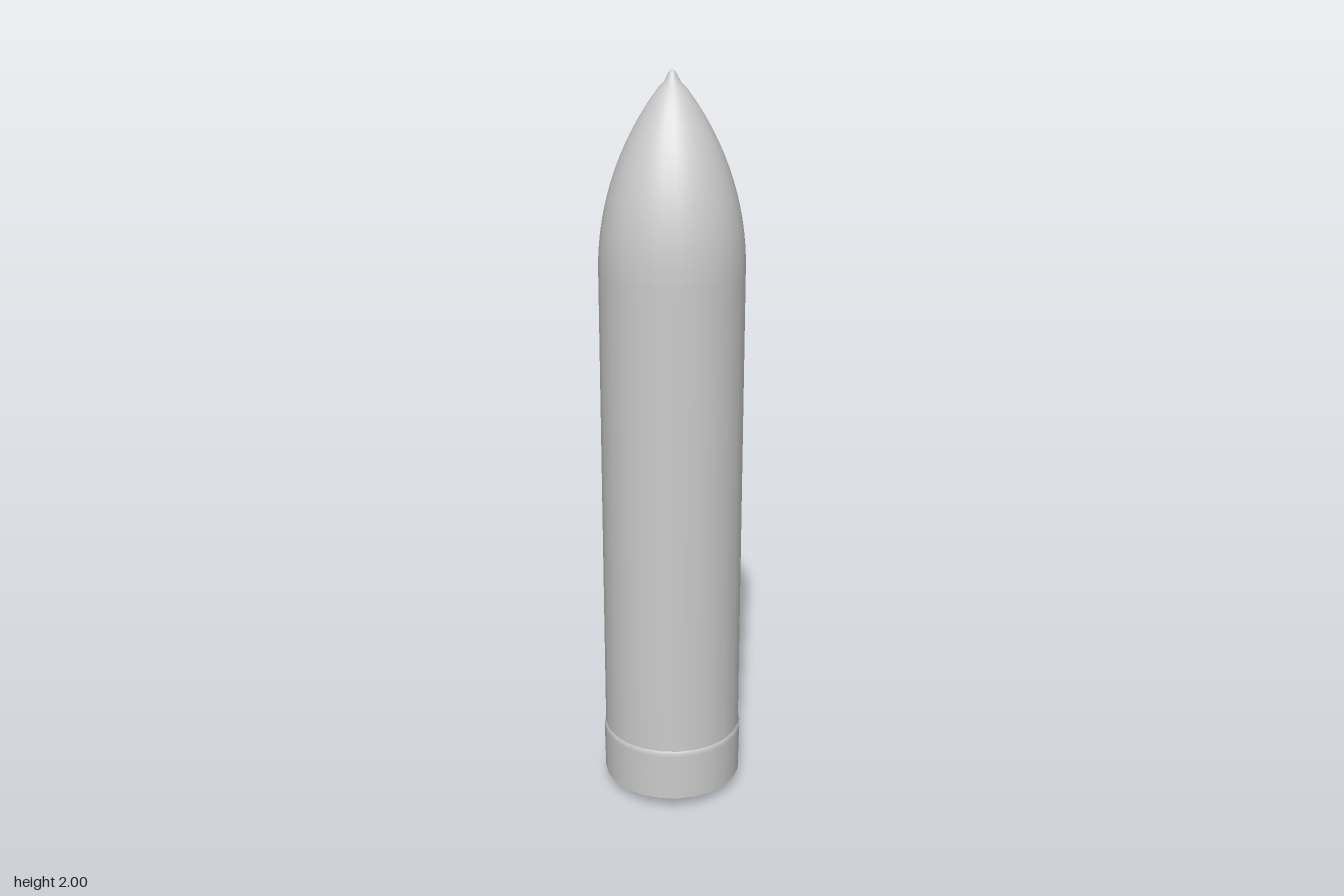
import * as THREE from 'three';

const SIDES = 24;
const RADIUS = 0.191;
const NOSE_BASE = 1.5;

export function createModel() {
  const model = new THREE.Group();
  const material = new THREE.MeshStandardMaterial({ color: 0xcccccc, side: THREE.DoubleSide });

  // Revolves [radius, height] pairs, listed from bottom to top
  function addTurned(name, profile) {
    const points = profile.map(([r, y]) => new THREE.Vector2(r, y));
    const mesh = new THREE.Mesh(new THREE.LatheGeometry(points, SIDES), material);
    mesh.name = name;
    model.add(mesh);
  }

  // Open, chamfered tail rim
  addTurned('tailChamfer', [[0.135, 0], [0.14, 0.008], [0.193, 0.036]]);

  // Slightly wider tail skirt
  addTurned('tailSkirt', [[0.193, 0.036], [0.195, 0.17], [0.194, 0.18], [RADIUS, 0.185]]);

  // Long straight body
  addTurned('body', [[RADIUS, 0.185], [RADIUS, NOSE_BASE]]);

  // Ogive nose, tangent to the body and drawn out to a small rounded tip
  const length = 2 - NOSE_BASE;
  const arc = (RADIUS ** 2 + length ** 2) / (2 * RADIUS);
  const nose = [];
  for (let i = 0; i <= 14; i++) {
    const d = (i / 14) * 0.455;
    nose.push([Math.sqrt(arc ** 2 - d ** 2) - arc + RADIUS, NOSE_BASE + d]);
  }
  nose.push([0.022, 1.97], [0.014, 1.985], [0.01, 1.994], [0.005, 1.999], [0, 2]);
  addTurned('nose', nose);

  return model;
}
